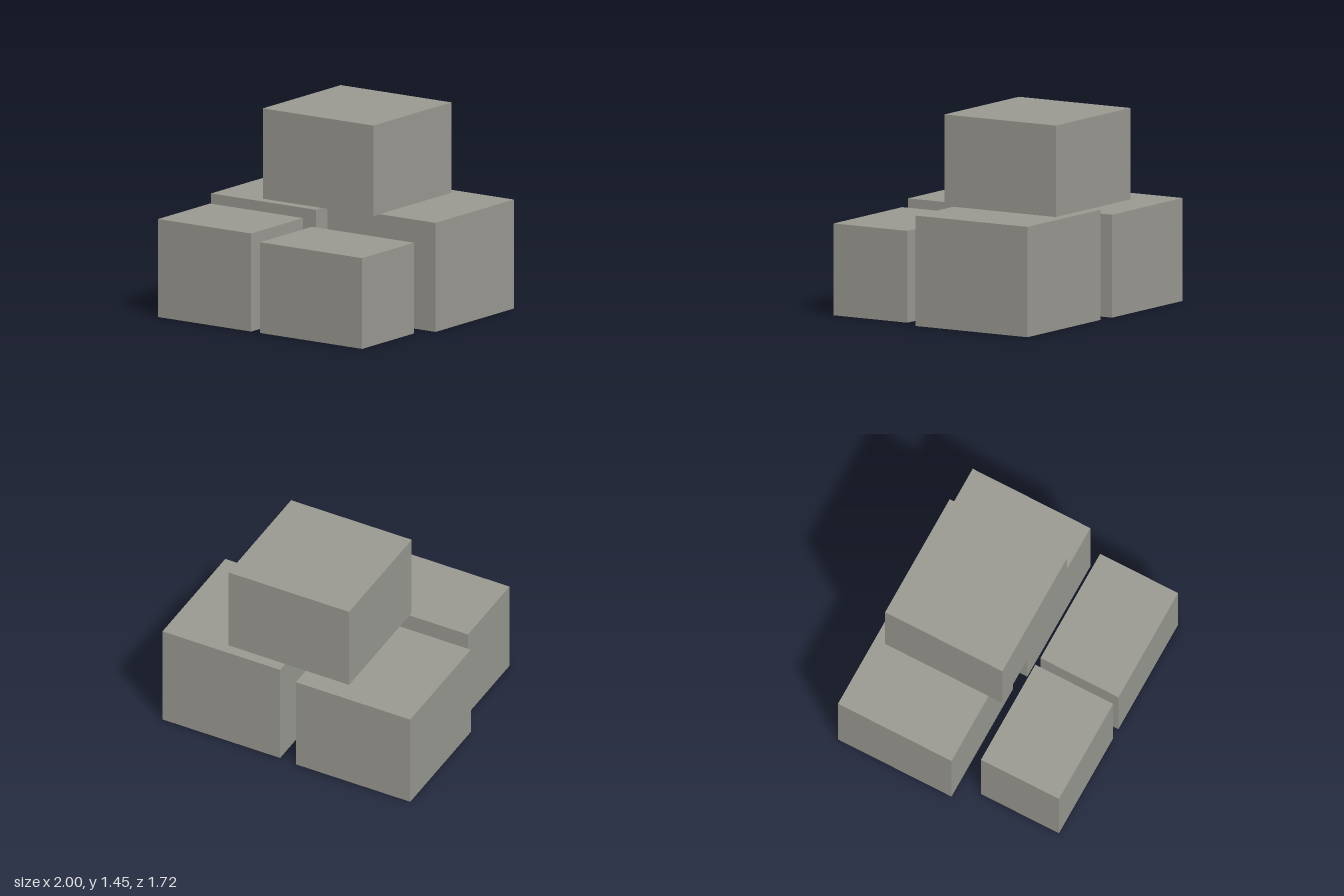
import * as THREE from 'three';

// Each block: name, then min and max along x, y and z
const BLOCKS = [
  ['backRightBlock', [-1, -0.08], [0, 0.74], [-0.86, 0.055]],
  ['backLeftBlock', [0.053, 1], [0, 0.793], [-0.848, 0.1]],
  ['frontRightBlock', [-0.883, -0.068], [0, 0.713], [0.23, 0.858]],
  ['frontLeftBlock', [0.01, 0.905], [0, 0.66], [0.23, 0.858]],
  ['topBlock', [-0.46, 0.51], [0.793, 1.45], [-0.77, 0.175]],
];

export function createModel() {
  const group = new THREE.Group();
  group.name = 'stackedBlocks';
  const stone = new THREE.MeshStandardMaterial({ color: 0x9a9992 });
  stone.name = 'warm grey stone';

  // Four blocks on the ground with one resting across the back pair
  for (const [name, ...spans] of BLOCKS) {
    const size = spans.map(([lo, hi]) => hi - lo);
    const centre = spans.map(([lo, hi]) => (lo + hi) / 2);
    const block = new THREE.Mesh(new THREE.BoxGeometry(...size), stone);
    block.name = name;
    block.position.set(...centre);
    group.add(block);
  }
  return group;
}
